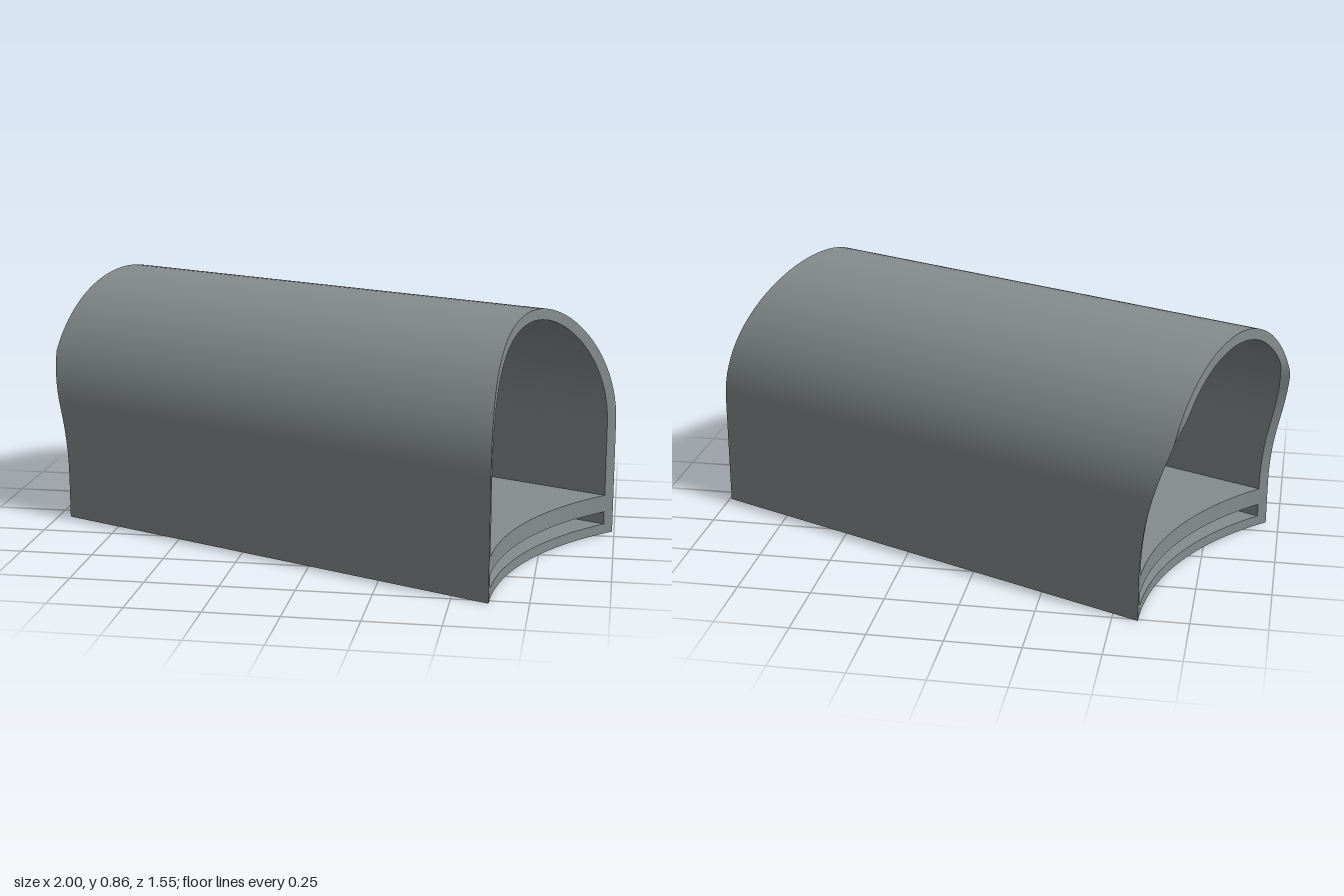
import * as THREE from 'three';

const R2 = 1.254; // squared radius of the round cuts at both ends
// end positions along the tunnel axis: a plain round cut in front, a dome-shaped cut behind
const frontEnd = (v) => 1.906 - Math.sqrt(R2 - v * v);
const rearEnd = (v, y) =>
  Math.max(-0.925, -1.865 + Math.sqrt(R2 - Math.max(0, y - 0.15) ** 2 - v * v));

const atFront = (p) => p.map(([v, y]) => [frontEnd(v), y, v]);
const atRear = (p) => p.map(([v, y]) => [rearEnd(v, y), y, v]);

// arch cross-section from the left foot over the crown to the right foot
function archProfile(r, foot) {
  const spring = 0.4, pts = [];
  for (let i = 0; i < 10; i++) pts.push([r, foot + (spring - foot) * i / 10]);
  for (let i = 0; i <= 48; i++) {
    const a = Math.PI * i / 48;
    pts.push([r * Math.cos(a), spring + r * Math.sin(a)]);
  }
  for (let i = 9; i >= 0; i--) pts.push([-r, foot + (spring - foot) * i / 10]);
  return pts;
}

// level line across the tunnel, running from one side to the other
function levelLine(from, to, y) {
  return Array.from({ length: 25 }, (_, i) => [from + (to - from) * i / 24, y]);
}

// ruled surface between two rows of points
function strip(a, b) {
  const pos = [], index = [];
  a.forEach((p, i) => {
    pos.push(...p, ...b[i]);
    if (i < a.length - 1) {
      const k = i * 2;
      index.push(k, k + 1, k + 2, k + 2, k + 1, k + 3);
    }
  });
  const g = new THREE.BufferGeometry();
  g.setAttribute('position', new THREE.Float32BufferAttribute(pos, 3));
  g.setIndex(index);
  g.computeVertexNormals();
  return g;
}

export function createModel() {
  const model = new THREE.Group();
  model.name = 'archedTunnel';
  const stone = new THREE.MeshStandardMaterial({ color: 0x868d8f });
  stone.name = 'stoneGrey';

  const body = new THREE.Group();
  body.name = 'tunnelBody';
  body.rotation.y = -Math.atan2(0.406, 0.914);
  model.add(body);
  const add = (name, a, b) => {
    const m = new THREE.Mesh(strip(a, b), stone);
    m.name = name;
    body.add(m);
  };

  const W = 0.457, w = 0.42, base = 0.035;
  const outer = archProfile(W, 0), inner = archProfile(w, base);
  const under = levelLine(-W, W, 0), over = levelLine(-w, w, base);

  // shell skins
  add('outerArch', atRear(outer), atFront(outer));
  add('innerArch', atFront(inner), atRear(inner));
  add('underside', atRear(under), atFront(under));
  add('baseTop', atFront(over), atRear(over));

  // end rims
  add('frontArchRim', atFront(outer), atFront(inner));
  add('rearArchRim', atRear(inner), atRear(outer));
  add('frontBaseRim', atFront(under), atFront(over));
  add('rearBaseRim', atRear(over), atRear(under));

  // raised floor slab with a gap beneath it
  const top = levelLine(w, -w, 0.14), bottom = levelLine(w, -w, 0.08);
  add('floorTop', atRear(top), atFront(top));
  add('floorUnderside', atFront(bottom), atRear(bottom));
  add('floorFrontEdge', atFront(top), atFront(bottom));
  add('floorRearEdge', atRear(bottom), atRear(top));

  return model;
}
